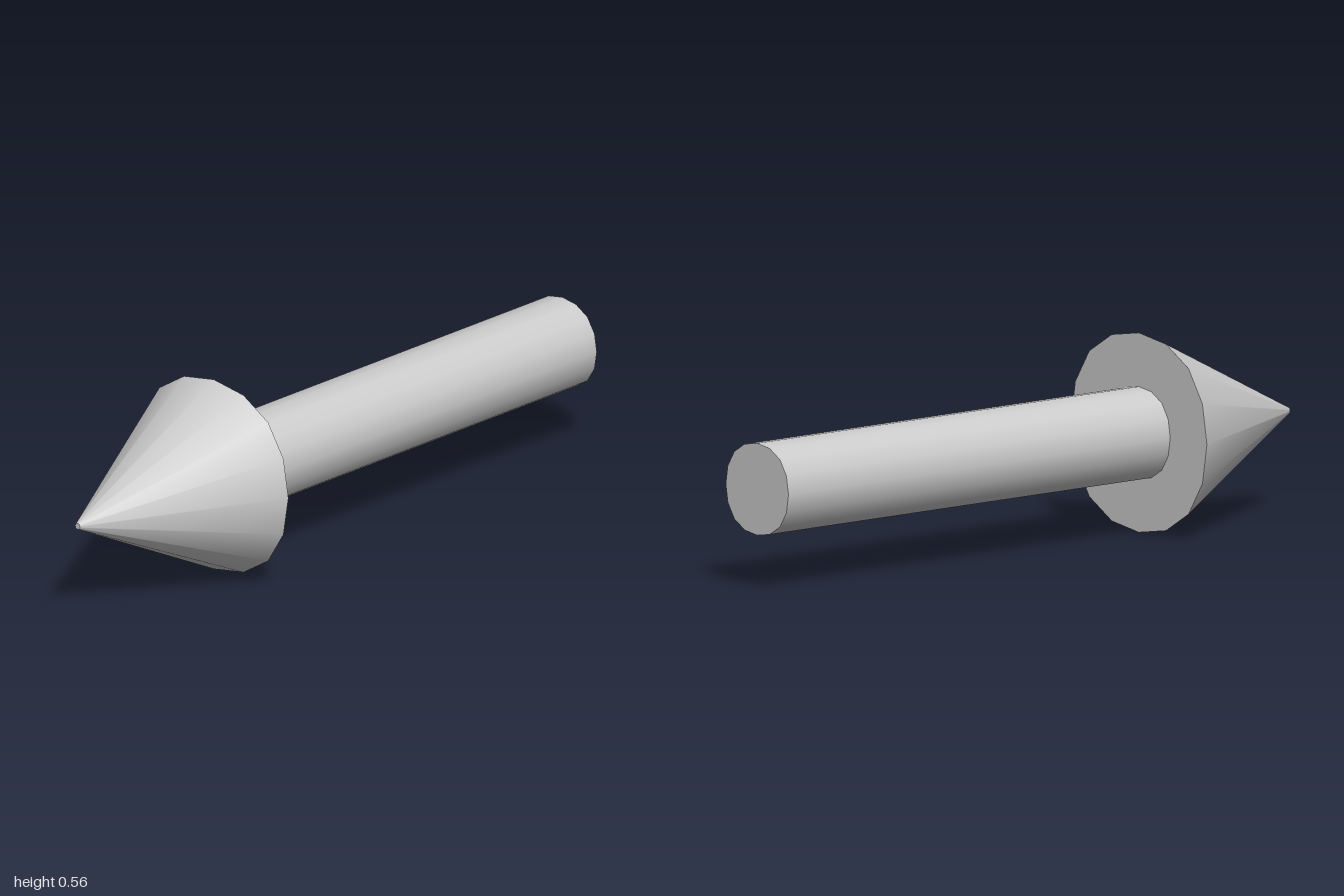
import * as THREE from 'three';

const SIDES = 16;
const AXIS_Y = 0.283;
const HEAD_BACK = 0.438;

// Cylinder or cone along z whose round section swells slightly at the diagonals
function roundBar(name, frontRadius, backRadius, zBack, zFront, material) {
  const length = zFront - zBack;
  const geometry = new THREE.CylinderGeometry(frontRadius, backRadius, length, SIDES);
  const pos = geometry.attributes.position;
  for (let i = 0; i < pos.count; i++) {
    const x = pos.getX(i), z = pos.getZ(i);
    const angle = Math.atan2(x, z);
    const radius = Math.hypot(x, z) * (1 + 0.032 * Math.sin(2 * angle) ** 2);
    const turned = angle + 0.011 * Math.sin(4 * angle);
    pos.setX(i, radius * Math.sin(turned));
    pos.setZ(i, radius * Math.cos(turned));
  }
  geometry.rotateX(Math.PI / 2);
  const mesh = new THREE.Mesh(geometry, material);
  mesh.name = name;
  mesh.position.set(0, AXIS_Y, (zBack + zFront) / 2);
  return mesh;
}

export function createModel() {
  const group = new THREE.Group();
  group.name = 'arrow';
  const grey = new THREE.MeshStandardMaterial({ color: 0xcccccc });

  // Straight shaft, ending at the back of the head
  group.add(roundBar('shaft', 0.13, 0.13, -1, HEAD_BACK, grey));

  // Conical head with a tiny blunt tip
  group.add(roundBar('arrowHead', 0.009, 0.282, HEAD_BACK, 1, grey));

  return group;
}
